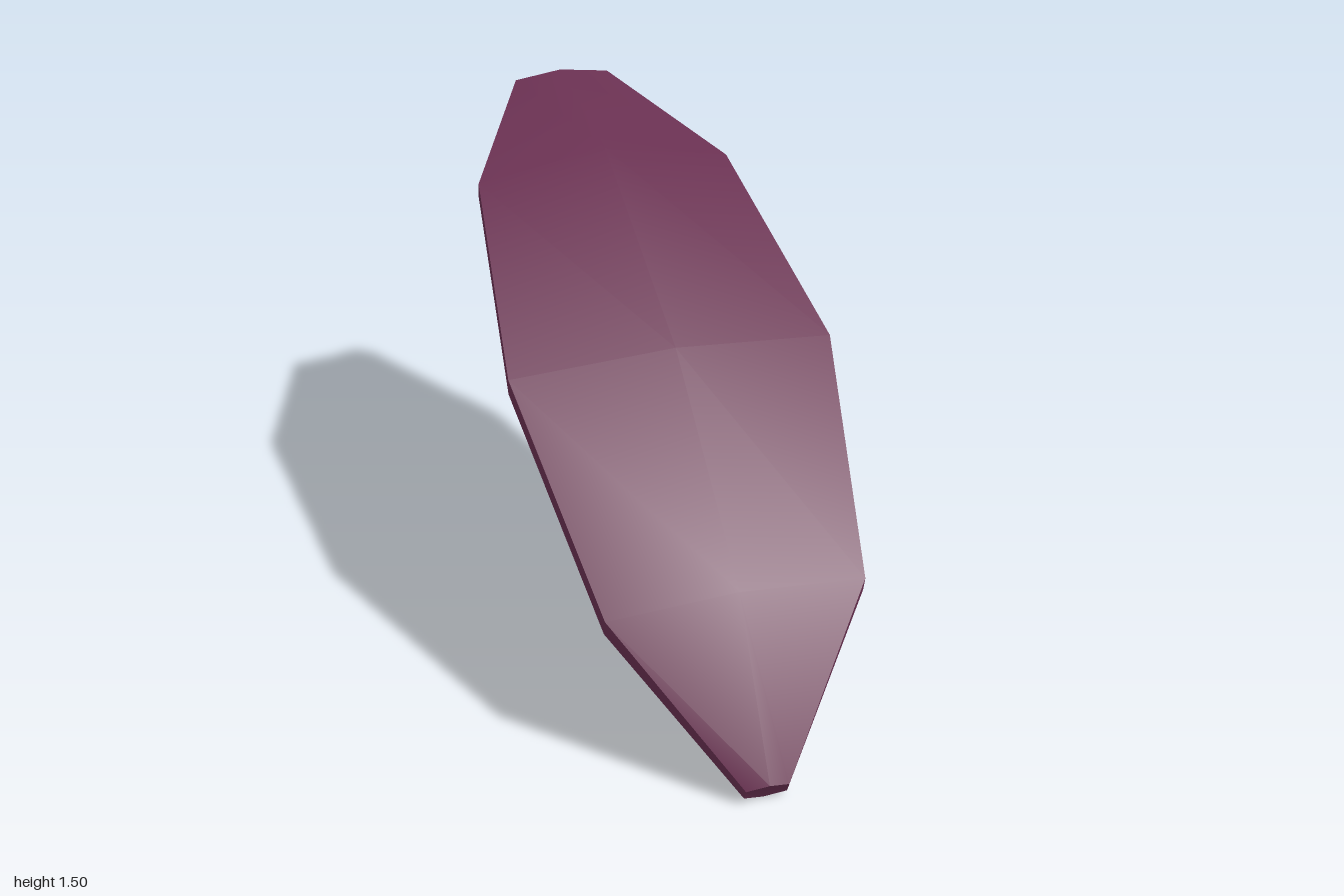
import * as THREE from 'three';
import { toCreasedNormals } from 'three/addons/utils/BufferGeometryUtils.js';

// The long axis runs diagonally on plan: u goes along it, v across it
const AXIS = [0.576, 0.818];
const OFFSET = -0.045;
const place = (u, v, y) => [
  AXIS[0] * u + AXIS[1] * (v + OFFSET), y, AXIS[1] * u - AXIS[0] * (v + OFFSET),
];

// One six-sided cross-section: top edges, ridge, lower edges and keel
function ring({ edge, w, ridge, low, lowW = w, keel = low }) {
  return [
    place(edge[0], -w, edge[1]), place(ridge[0], 0, ridge[1]), place(edge[0], w, edge[1]),
    place(low[0], lowW, low[1]), place(keel[0], 0, keel[1]), place(low[0], -lowW, low[1]),
  ];
}

// Skin a run of cross-sections, with an optional cap at either end
function loft(sections, capStart, capEnd) {
  const rings = sections.map(ring);
  const n = 6;
  const index = [];
  for (let i = 0; i < rings.length - 1; i++) {
    for (let j = 0; j < n; j++) {
      const a = i * n + j, b = i * n + (j + 1) % n;
      index.push(a, b, a + n, b, b + n, a + n);
    }
  }
  const last = (rings.length - 1) * n;
  for (let j = 1; j < n - 1; j++) {
    if (capStart) index.push(0, j + 1, j);
    if (capEnd) index.push(last, last + j, last + j + 1);
  }
  const geo = new THREE.BufferGeometry();
  geo.setAttribute('position', new THREE.Float32BufferAttribute(rings.flat(2), 3));
  geo.setIndex(index);
  return toCreasedNormals(geo, 0.7);
}

export function createModel() {
  const group = new THREE.Group();
  group.name = 'hookedShell';
  const plum = new THREE.MeshStandardMaterial({ color: 0x693051 });
  plum.name = 'plum';

  // Where the blade narrows into the hook
  const neck = { edge: [-1.065, 1.49], w: 0.161, ridge: [-1.083, 1.505], low: [-1.0, 1.41], lowW: 0.13 };

  // Curved, ridged blade from the low front tip up to the neck
  const blade = [
    { edge: [1.137, 0.06], w: 0.067, ridge: [1.155, 0.08], low: [1.12, 0.025], keel: [1.1, 0.003] },
    { edge: [0.839, 0.53], w: 0.404, ridge: [0.86, 0.57], low: [0.825, 0.48] },
    { edge: [0.198, 1.02], w: 0.517, ridge: [0.235, 1.07], low: [0.195, 0.97] },
    { edge: [-0.544, 1.35], w: 0.42, ridge: [-0.53, 1.43], low: [-0.55, 1.3] },
    neck,
  ];

  // Tapering hook that curls down and forward under the neck
  const hook = [
    neck,
    { edge: [-1.21, 1.32], w: 0.061, ridge: [-1.235, 1.325], low: [-1.143, 1.33], lowW: 0.05 },
    { edge: [-1.11, 1.195], w: 0.045, ridge: [-1.115, 1.188], low: [-1.08, 1.22], lowW: 0.035 },
    { edge: [-1.04, 1.2], w: 0.035, ridge: [-1.04, 1.192], low: [-1.035, 1.222], lowW: 0.03 },
    { edge: [-0.97, 1.233], w: 0.015, ridge: [-0.97, 1.23], low: [-0.972, 1.238] },
  ];

  const add = (name, geo) => {
    const mesh = new THREE.Mesh(geo, plum);
    mesh.name = name;
    group.add(mesh);
  };
  add('blade', loft(blade, true, false));
  add('hook', loft(hook, false, true));
  return group;
}
